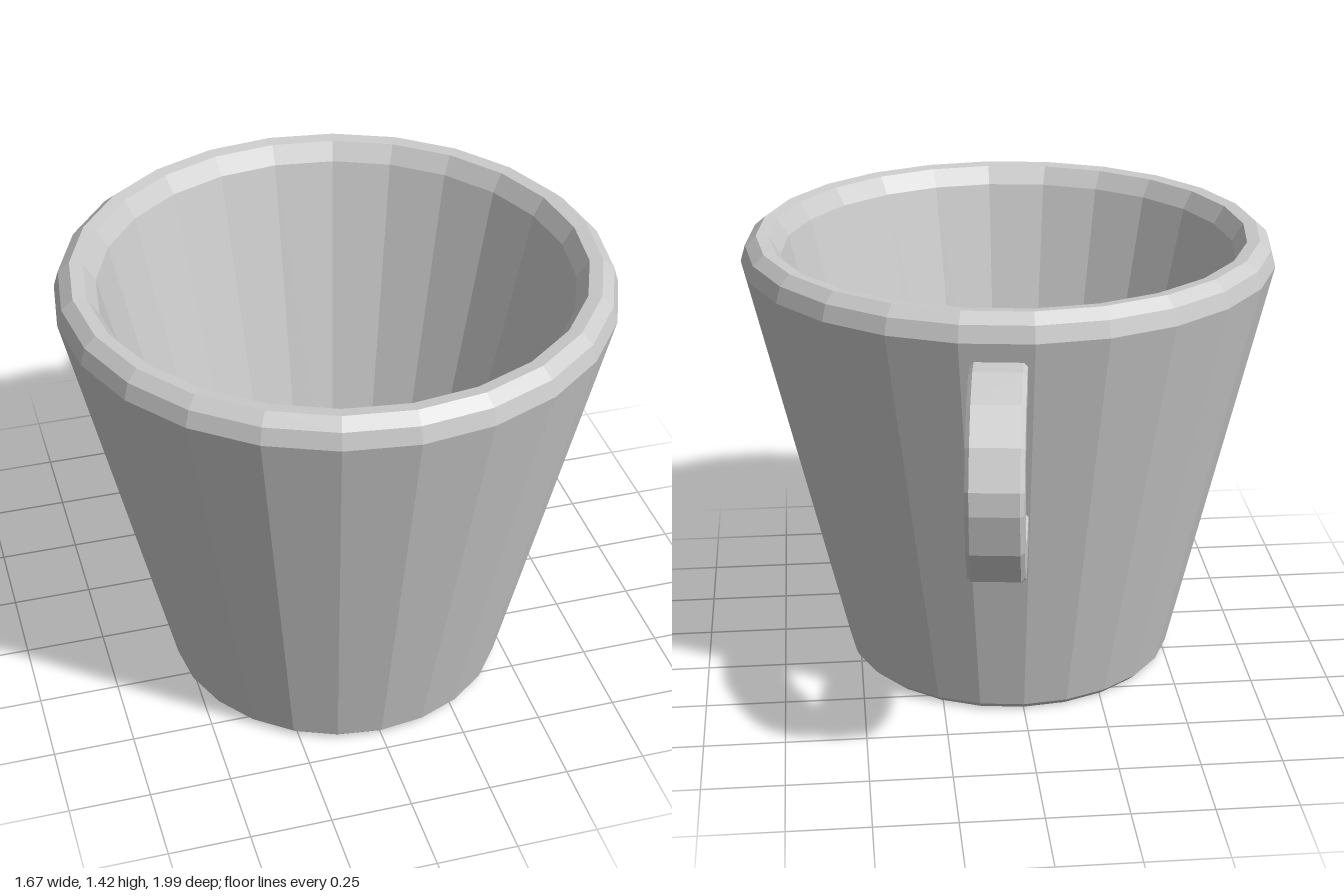
import * as THREE from 'three';

const SIDES = 24;      // facets around the cup
const CENTRE_Z = 0.16; // axis of the cup, forward to balance the handle

const points = (list) => list.map(([x, y]) => new THREE.Vector2(x, y));

export function createModel() {
  const model = new THREE.Group();
  model.name = 'mug';
  const material = new THREE.MeshStandardMaterial({ color: 0xcccccc, flatShading: true });

  // Cup: tapered outer wall, rounded rim, inner wall and floor in one profile
  const profile = points([
    [0, 0], [0.51, 0], [0.53, 0.02],
    [0.835, 1.34], [0.82, 1.39], [0.785, 1.42],
    [0.745, 1.415], [0.71, 1.36],
    [0.41, 0.09], [0, 0.09],
  ]);
  const cup = new THREE.Mesh(new THREE.LatheGeometry(profile, SIDES), material);
  cup.name = 'cup';
  cup.position.z = CENTRE_Z;
  model.add(cup);

  // Handle: outline drawn as distance from the cup's axis against height
  const outline = new THREE.Shape(points([
    [0.75, 1.28], [0.89, 1.28], [1.01, 1.23], [1.1, 1.14], [1.155, 1.03],
    [1.16, 0.96], [1.13, 0.83], [1.05, 0.71], [0.95, 0.66], [0.85, 0.64],
    [0.69, 0.655], [0.66, 0.61], [0.61, 0.64], [0.61, 0.76],
    [0.87, 0.76], [0.95, 0.8], [1.0, 0.87], [1.02, 0.95],
    [1.01, 1.03], [0.96, 1.12], [0.9, 1.165], [0.86, 1.175], [0.75, 1.165],
  ]));
  const width = 0.165, bevel = 0.012;
  const handleGeometry = new THREE.ExtrudeGeometry(outline, {
    depth: width - 2 * bevel, bevelEnabled: true, bevelSegments: 1,
    bevelThickness: bevel, bevelSize: bevel, bevelOffset: -bevel,
  });
  handleGeometry.translate(0, 0, bevel - width / 2);
  const handle = new THREE.Mesh(handleGeometry, material);
  handle.name = 'handle';
  handle.position.z = CENTRE_Z;
  handle.rotation.y = Math.PI / 2 - 0.125; // points backwards, slightly to +x
  model.add(handle);

  return model;
}
